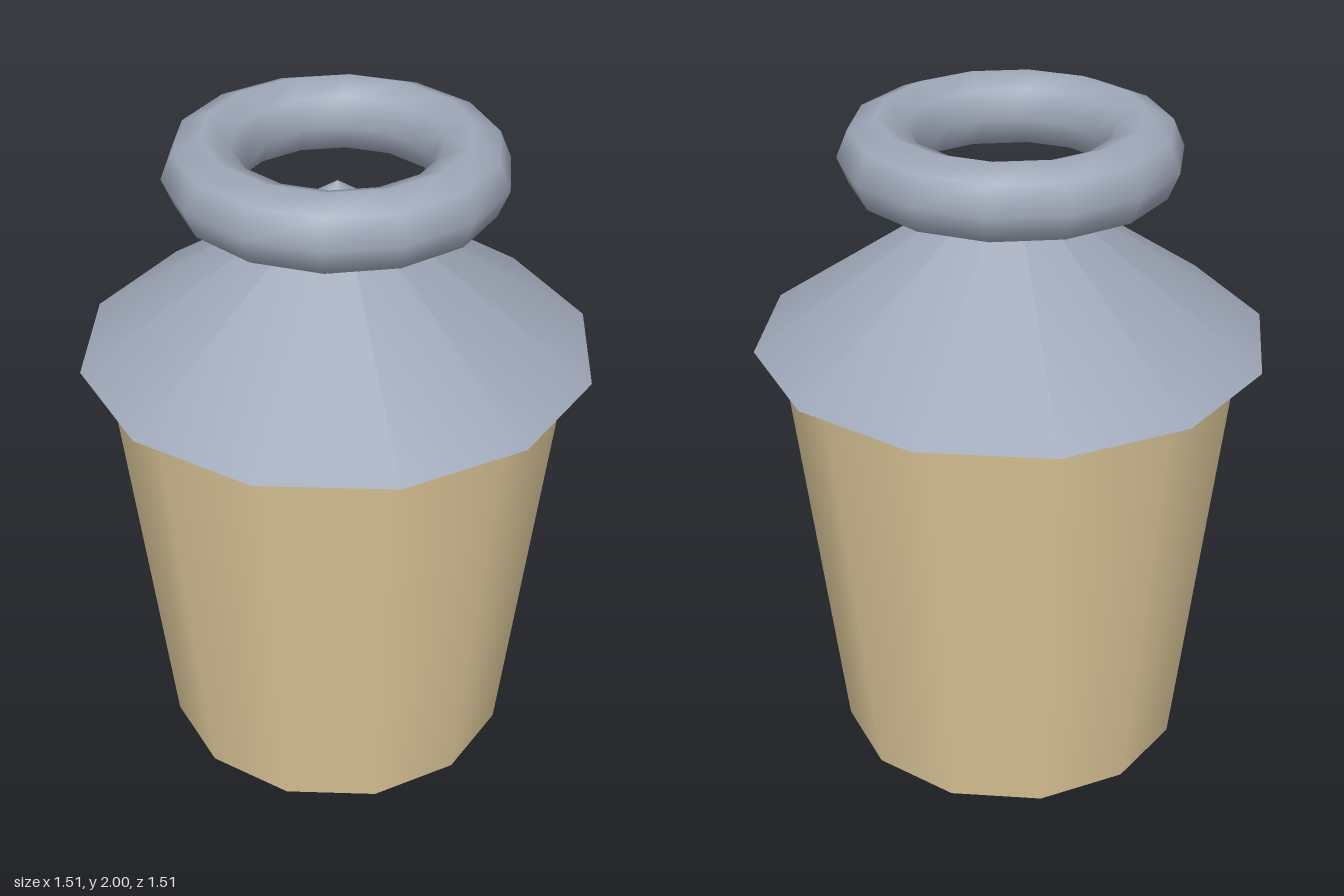
import * as THREE from 'three';

export function createModel() {
  const model = new THREE.Group();
  const tan = new THREE.MeshStandardMaterial({ color: 0xdcc698 });
  const metal = new THREE.MeshStandardMaterial({ color: 0x9ea7b8 });

  const add = (name, geometry, material, y) => {
    const mesh = new THREE.Mesh(geometry, material);
    mesh.name = name;
    mesh.position.y = y;
    model.add(mesh);
  };

  const bodyHeight = 1.321, roofHeight = 0.528, tube = 0.113;

  // Tapered twelve-sided body, wider at the top
  add('body', new THREE.CylinderGeometry(0.679, 0.528, bodyHeight, 12), tan, bodyHeight / 2);

  // Overhanging conical lid
  add('lid', new THREE.ConeGeometry(0.755, roofHeight, 12), metal, bodyHeight + roofHeight / 2);

  // Horizontal ring around the tip of the lid
  const ring = new THREE.TorusGeometry(0.377, tube, 8, 14).rotateX(Math.PI / 2);
  add('ring', ring, metal, 2 - tube);

  return model;
}
